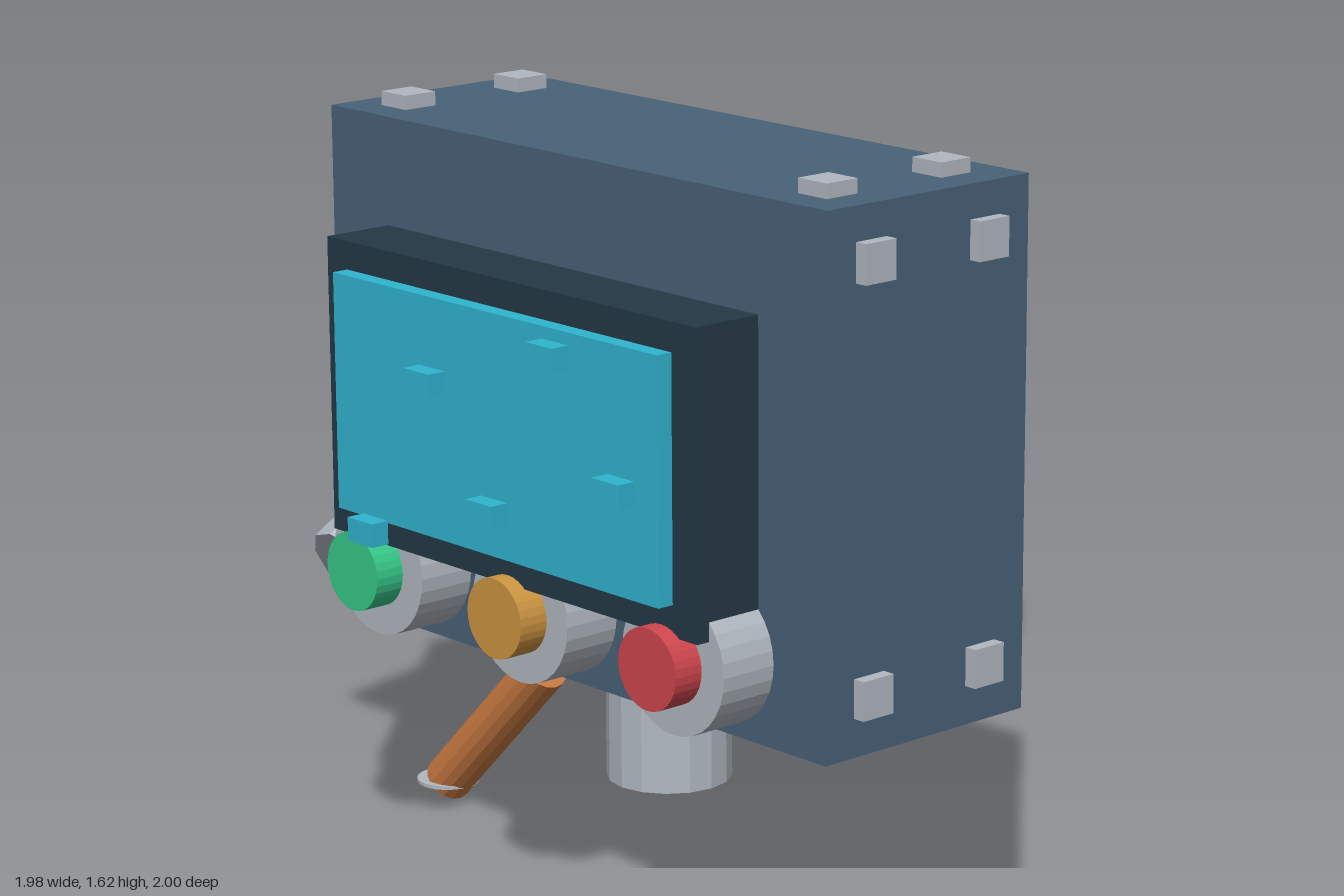
import * as THREE from 'three';

function material(name, color, flat = true) {
  const m = new THREE.MeshStandardMaterial({ color, flatShading: flat });
  m.name = name;
  return m;
}

export function createModel() {
  const model = new THREE.Group();
  model.name = 'controlUnit';

  const slate = material('slate blue', 0x486278);
  const dark = material('dark slate', 0x243845);
  const cyan = material('screen cyan', 0x2fb4d0);
  const green = material('green', 0x36c988);
  const amber = material('amber', 0xcc9540);
  const red = material('red', 0xcf464e);
  const steel = material('steel', 0xb0b8c0);
  const copper = material('copper', 0xc87941);

  function add(name, geometry, mat, x, y, z) {
    const mesh = new THREE.Mesh(geometry, mat);
    mesh.name = name;
    mesh.position.set(x, y, z);
    model.add(mesh);
    return mesh;
  }

  // Box given by its min and max corners
  function box(name, mat, [x0, y0, z0], [x1, y1, z1]) {
    return add(name, new THREE.BoxGeometry(x1 - x0, y1 - y0, z1 - z0), mat,
      (x0 + x1) / 2, (y0 + y1) / 2, (z0 + z1) / 2);
  }

  // Cylinder between two points, with its facets turned by twist
  function rod(name, mat, a, b, radius, sides, twist = 0) {
    const from = new THREE.Vector3(...a), to = new THREE.Vector3(...b);
    const geometry = new THREE.CylinderGeometry(radius, radius, from.distanceTo(to), sides);
    geometry.rotateY(twist).rotateX(Math.PI / 2);
    const mid = from.clone().add(to).multiplyScalar(0.5);
    const mesh = add(name, geometry, mat, mid.x, mid.y, mid.z);
    mesh.lookAt(to);
    return mesh;
  }

  // Housing, screen frame and screen
  box('housing', slate, [-0.55, 0.5, 0.22], [0.96, 1.59, 0.76]);
  box('screenFrame', dark, [-0.365, 0.735, 0.75], [0.77, 1.36, 0.92]);
  box('screen', cyan, [-0.3, 0.8, 0.91], [0.7, 1.3, 0.957]);

  // Small raised blocks on the screen
  [[-0.175, 0.78], [0.02, 1.13], [0.21, 0.895], [0.403, 1.25], [0.595, 1.015]].forEach(([x, y]) =>
    box('screenBlock', cyan, [x - 0.04, y - 0.025, 0.958], [x + 0.04, y + 0.025, 1]));

  // Three buttons on round steel bases
  [[-0.26, green], [0.202, amber], [0.665, red]].forEach(([x, mat]) => {
    rod('buttonBase', steel, [x, 0.67, 0.74], [x, 0.67, 0.89], 0.148, 32);
    rod('buttonCap', mat, [x, 0.67, 0.88], [x, 0.67, 0.957], 0.084, 32);
  });

  // Bolts on the top, bottom and sides
  for (const z of [0.34, 0.645]) {
    for (const x of [-0.435, 0.84]) {
      for (const y of [1.59, 0.5]) add('bolt', new THREE.BoxGeometry(0.08, 0.06, 0.08), steel, x, y, z);
    }
    for (const y of [0.62, 1.48]) {
      for (const x of [-0.55, 0.957]) add('bolt', new THREE.BoxGeometry(0.06, 0.08, 0.08), steel, x, y, z);
    }
  }

  // Socket under the housing
  add('bottomSocket', new THREE.CylinderGeometry(0.132, 0.132, 0.28, 16), steel, 0.202, 0.375, 0.49);

  // Copper rod with a thin disc at each end
  const low = [-0.538, 0.04, 0.49], high = [-0.2, 0.377, 0.49];
  rod('copperRod', copper, low, high, 0.053, 16);
  [low, high].forEach((p) =>
    add('rodDisc', new THREE.CylinderGeometry(0.07, 0.07, 0.008, 24), steel, ...p));

  // Bent pipe with a rounded elbow
  const start = [-0.873, 0.445, 0.488], elbow = [-0.873, 0.848, -0.182], end = [-0.138, 0.848, -0.917];
  rod('lowerPipe', steel, elbow, start, 0.118, 10);
  rod('upperPipe', steel, elbow, end, 0.118, 10, Math.PI / 2);
  add('pipeElbow', new THREE.SphereGeometry(0.116, 10, 8), steel, ...elbow);

  return model;
}
